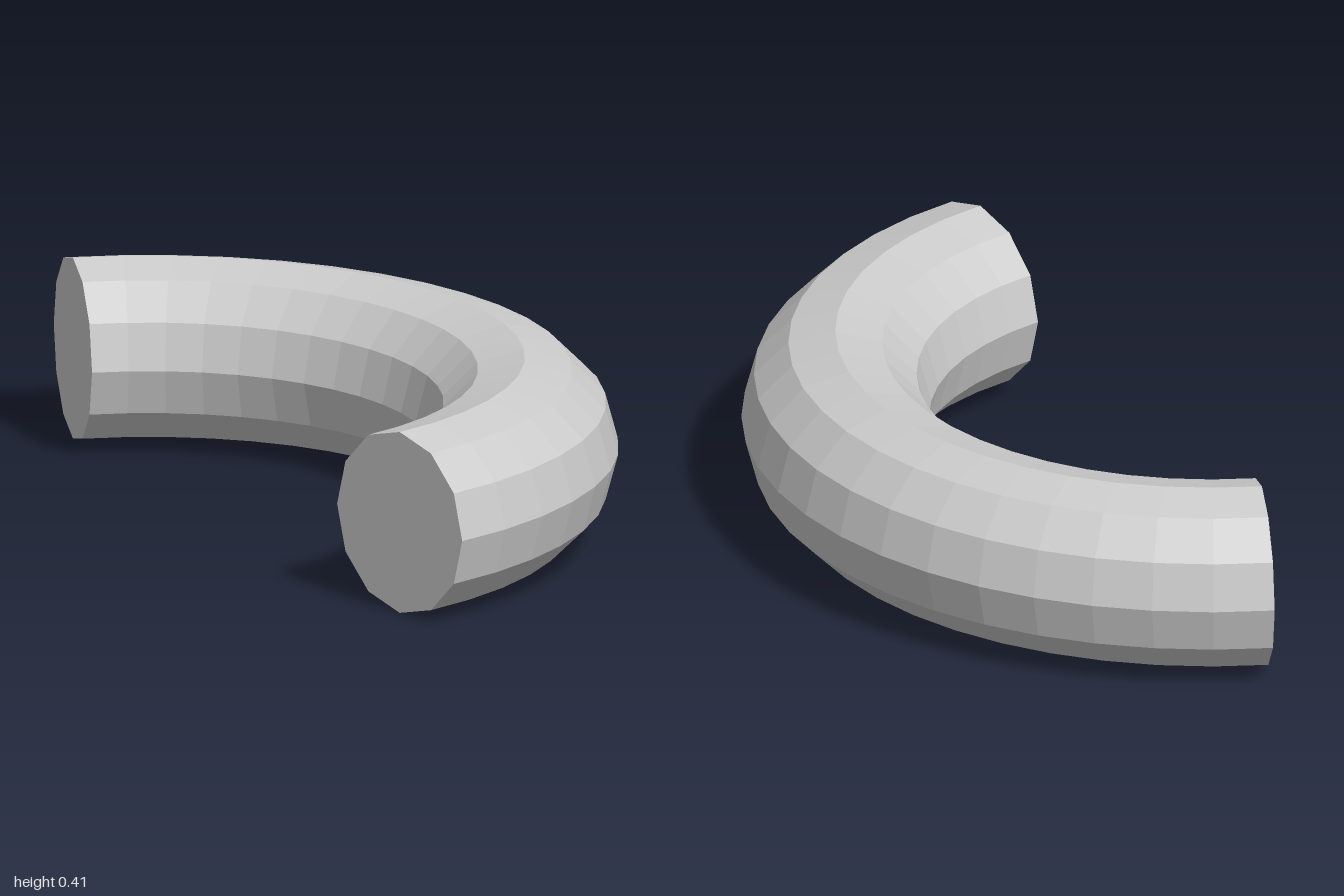
import * as THREE from 'three';

const RING = 0.828;                              // radius of the bend's centre line
const TUBE = 0.207;                              // radius of the pipe
const SIDES = 12;
const STEPS = 20;
const HALF_ARC = THREE.MathUtils.degToRad(75);   // the bend sweeps 150 degrees

export function createModel() {
  const model = new THREE.Group();
  model.name = 'curvedPipe';
  const material = new THREE.MeshStandardMaterial({ color: 0xcccccc, flatShading: true });

  const add = (name, geometry) => {
    geometry.translate(-0.6, TUBE, 0);
    const mesh = new THREE.Mesh(geometry, material);
    mesh.name = name;
    model.add(mesh);
  };

  // Bent pipe lying flat, bulging toward +x
  const bend = new THREE.TorusGeometry(RING, TUBE, SIDES, STEPS, 2 * HALF_ARC);
  bend.rotateZ(-HALF_ARC).rotateX(-Math.PI / 2);
  add('pipeBend', bend);

  // Flat caps closing both ends
  for (const [name, flip, angle] of [['frontCap', 0, -HALF_ARC], ['backCap', Math.PI, HALF_ARC]]) {
    const cap = new THREE.CircleGeometry(TUBE, SIDES);
    cap.rotateY(flip).translate(RING, 0, 0).rotateY(angle);
    add(name, cap);
  }

  return model;
}
